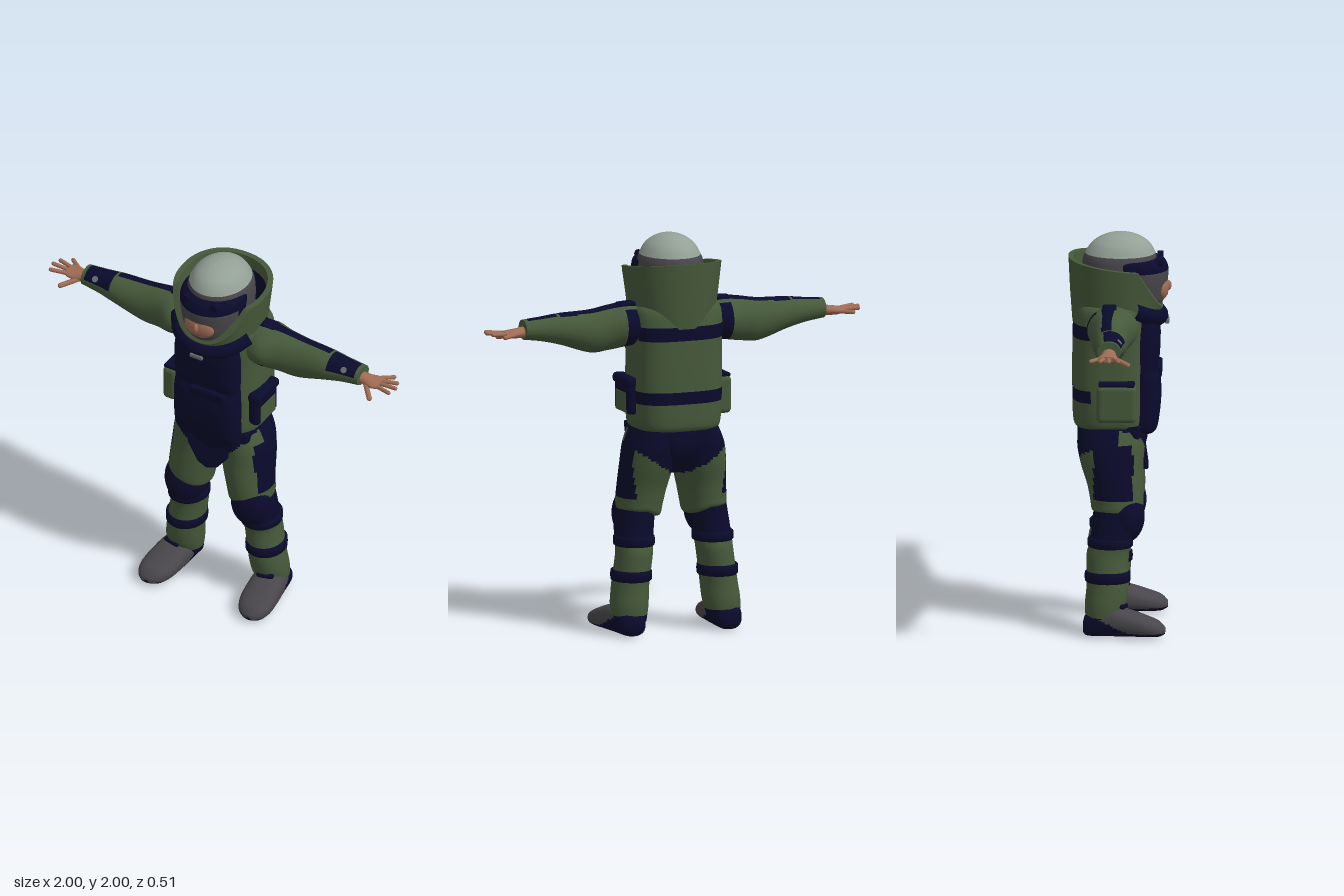
import * as THREE from 'three';
import { toCreasedNormals } from 'three/addons/utils/BufferGeometryUtils.js';
import { RoundedBoxGeometry } from 'three/addons/geometries/RoundedBoxGeometry.js';

const mat = (name, color) => Object.assign(new THREE.MeshStandardMaterial({ color }), { name });
const MATS = [mat('suit green', 0x46593a), mat('padding navy', 0x0a0a2c), mat('helmet grey', 0x93a096),
  mat('rubber grey', 0x48464a), mat('skin', 0xa06c54), mat('buckle grey', 0x6a6c72)];
const [GREEN, NAVY, SHELL, RUBBER, SKIN, METAL] = [0, 1, 2, 3, 4, 5];

// Where ring coordinates (a, t, b) land, for sweeps along y, x and z
const ALONG = {
  y: (a, t, b) => new THREE.Vector3(a, t, b),
  x: (a, t, b) => new THREE.Vector3(t, b, a),
  z: (a, t, b) => new THREE.Vector3(b, a, t),
};

const spline = (p0, p1, p2, p3, t) => {
  const m1 = (p2 - p0) / 2, m2 = (p3 - p1) / 2;
  return (2 * t ** 3 - 3 * t * t + 1) * p1 + (t ** 3 - 2 * t * t + t) * m1 +
    (3 * t * t - 2 * t ** 3) * p2 + (t ** 3 - t * t) * m2;
};

// Skin over sections [t, centreA, centreB, radiusA, radiusB]; paint(point, ring, angle) picks each face's colour
function loft(name, sections, paint, { axis = 'y', n = 2, steps = 8, seg = 56, caps = true, warp } = {}) {
  const rings = [], last = sections.length - 1, pts = [];
  for (let i = 0; i < last; i++) {
    const s = k => sections[Math.min(Math.max(k, 0), last)];
    for (let k = 0; k < steps; k++)
      rings.push(s(i).map((_, d) => spline(s(i - 1)[d], s(i)[d], s(i + 1)[d], s(i + 2)[d], k / steps)));
  }
  rings.push(sections[last]);
  const pw = v => Math.sign(v) * Math.abs(v) ** (2 / n);
  const put = v => { if (warp) warp(v); return pts.push(v) - 1; };
  for (const [t, a, b, ra, rb] of rings)
    for (let j = 0; j < seg; j++) {
      const th = j / seg * Math.PI * 2;
      put(ALONG[axis](a + ra * pw(Math.cos(th)), t, b + rb * pw(Math.sin(th))));
    }
  const buckets = MATS.map(() => []);
  const face = (ids, ring, j) => {
    const c = new THREE.Vector3();
    ids.forEach(k => c.addScaledVector(pts[k], 1 / ids.length));
    const out = buckets[typeof paint === 'function' ? paint(c, ring, (j + 0.5) / seg * 360) : paint];
    for (let k = 2; k < ids.length; k++) out.push(ids[0], ids[k - 1], ids[k]);
  };
  for (let i = 0; i < rings.length - 1; i++)
    for (let j = 0; j < seg; j++) {
      const a = i * seg + j, b = i * seg + (j + 1) % seg;
      face([a, a + seg, b + seg, b], i, j);
    }
  if (caps) {
    const end = (rings.length - 1) * seg, R = rings[rings.length - 1];
    const c0 = put(ALONG[axis](rings[0][1], rings[0][0], rings[0][2])), c1 = put(ALONG[axis](R[1], R[0], R[2]));
    for (let j = 0; j < seg; j++) {
      const k = (j + 1) % seg;
      face([c0, j, k], 0, j);
      face([c1, end + k, end + j], rings.length - 1, j);
    }
  }
  const g = new THREE.BufferGeometry().setFromPoints(pts), used = [], index = [];
  buckets.forEach((list, m) => {
    if (!list.length) return;
    g.addGroup(index.length, list.length, used.length);
    used.push(MATS[m]);
    list.forEach(v => index.push(v));
  });
  g.setIndex(index);
  const mesh = new THREE.Mesh(toCreasedNormals(g, 0.8), used.length > 1 ? used : used[0]);
  mesh.name = name;
  return mesh;
}

function part(name, geo, m, pos = [0, 0, 0], rot = [0, 0, 0], scale = [1, 1, 1]) {
  const mesh = new THREE.Mesh(geo, MATS[m]);
  mesh.name = name;
  mesh.position.set(...pos); mesh.rotation.set(...rot); mesh.scale.set(...scale);
  return mesh;
}
const box = (name, m, w, h, d, pos, rot, r = 0.012) =>
  part(name, new RoundedBoxGeometry(w, h, d, 3, Math.min(r, w / 2.1, h / 2.1, d / 2.1)), m, pos, rot);
const tube = (name, m, pts, r) =>
  part(name, new THREE.TubeGeometry(new THREE.CatmullRomCurve3(pts.map(p => new THREE.Vector3(...p))), 24, r, 12), m);
const ball = (name, m, pos, scale) => part(name, new THREE.SphereGeometry(1, 32, 24), m, pos, [0, 0, 0], scale);

// Mirror a mesh across x = 0, keeping its faces outward
function mirror(mesh) {
  const g = mesh.geometry.index ? mesh.geometry.toNonIndexed() : mesh.geometry.clone();
  g.scale(-1, 1, 1);
  for (const at of Object.values(g.attributes))
    for (let i = 0; i < at.count; i += 3)
      for (let c = 0; c < at.itemSize; c++) {
        const v = at.getComponent(i + 1, c);
        at.setComponent(i + 1, c, at.getComponent(i + 2, c));
        at.setComponent(i + 2, c, v);
      }
  const m = new THREE.Mesh(g, mesh.material), { position: p, rotation: r } = mesh;
  m.position.set(-p.x, p.y, p.z); m.rotation.set(r.x, -r.y, -r.z); m.scale.copy(mesh.scale);
  m.name = mesh.name.replace('left', 'right');
  return m;
}

function armParts() {
  const arm = loft('leftArm', [[0.17, -0.03, 1.56, 0.11, 0.1], [0.26, -0.03, 1.56, 0.128, 0.11], [0.35, -0.035, 1.55, 0.1, 0.112],
    [0.45, -0.04, 1.54, 0.09, 0.107], [0.6, -0.035, 1.56, 0.08, 0.08], [0.7, -0.035, 1.567, 0.067, 0.062], [0.8, -0.035, 1.57, 0.058, 0.05]],
  (p, ring, th) => {
    if (p.x < 0.285 && (p.y < 1.5 || p.z < -0.11)) return NAVY;
    if (p.x < 0.61 && p.y > 1.56 && Math.abs(p.z + 0.052) < 0.027) return NAVY;
    if (p.x > 0.63 && p.x < 0.785 && th > 15 && th < 115) return NAVY;
    return GREEN;
  }, { axis: 'x' });
  // Hand: palm down, fingers spread, thumb to the front
  const palm = loft('leftPalm', [[0.77, -0.035, 1.562, 0.035, 0.03], [0.82, -0.035, 1.556, 0.036, 0.026],
    [0.87, -0.038, 1.553, 0.05, 0.021], [0.905, -0.04, 1.556, 0.046, 0.014]], SKIN, { axis: 'x', seg: 24 });
  const tips = [[0.93, 1.552, -0.122], [0.975, 1.562, -0.075], [0.99, 1.564, -0.032], [0.978, 1.562, 0.014], [0.895, 1.525, 0.06]];
  const roots = [[0.865, 1.552, -0.075], [0.89, 1.556, -0.058], [0.89, 1.556, -0.036], [0.885, 1.555, -0.012], [0.83, 1.545, -0.012]];
  const fingers = tips.map((t, i) => {
    const a = new THREE.Vector3(...roots[i]), b = new THREE.Vector3(...t), d = b.clone().sub(a);
    const f = part('leftFinger', new THREE.CapsuleGeometry(i === 4 ? 0.013 : 0.0105, d.length(), 6, 12), SKIN);
    f.geometry.applyQuaternion(new THREE.Quaternion().setFromUnitVectors(new THREE.Vector3(0, 1, 0), d.clone().normalize()));
    f.position.copy(a.add(b).multiplyScalar(0.5));
    return f;
  });
  const button = part('leftCuffButton', new THREE.CylinderGeometry(0.016, 0.016, 0.012, 20), METAL, [0.72, 1.602, 0.014], [0.85, 0, 0]);
  const strap = box('leftShoulderStrap', NAVY, 0.1, 0.02, 0.07, [0.25, 1.666, -0.045], [0, 0, -0.06]);
  return [arm, palm, ...fingers, button, strap];
}

function legParts() {
  const shin = loft('leftLowerLeg', [[0.07, 0.25, -0.085, 0.085, 0.075], [0.15, 0.245, -0.068, 0.095, 0.1], [0.25, 0.235, -0.055, 0.093, 0.105],
    [0.4, 0.215, -0.055, 0.092, 0.105], [0.46, 0.21, -0.042, 0.094, 0.105], [0.55, 0.2, -0.018, 0.097, 0.115], [0.7, 0.18, -0.01, 0.095, 0.11]],
  p => (p.y > 0.45 || p.y < 0.1 ? NAVY : GREEN));
  const thigh = loft('leftThigh', [[0.615, 0.178, -0.01, 0.09, 0.1], [0.63, 0.176, -0.01, 0.11, 0.125], [0.67, 0.17, -0.01, 0.116, 0.132],
    [0.75, 0.155, -0.018, 0.125, 0.14], [0.85, 0.14, -0.035, 0.132, 0.155], [0.95, 0.13, -0.04, 0.126, 0.168], [1.04, 0.12, -0.035, 0.1, 0.165]],
  p => {
    if (p.x > 0.19 && p.y > 0.69 && p.y < 0.965 && p.z > -0.125 && p.z < 0.07) return NAVY;
    return p.y > (p.z > 0 ? 0.79 + 1.1 * p.x : 0.78 + 0.65 * p.x) ? NAVY : GREEN;
  }, { warp: v => { v.y -= Math.max(0, 0.72 - v.y) * (v.x > 0.17 ? 0 : (0.17 - v.x) * 4); } });
  const band = (name, y, x, z, h, rx, rz) => loft(name, [[y - h, x, z, rx - 0.01, rz - 0.01], [y - h * 0.8, x, z, rx, rz],
    [y + h * 0.8, x, z, rx, rz], [y + h, x, z, rx - 0.01, rz - 0.01]], NAVY, { steps: 2 });
  const boot = loft('leftBoot', [[-0.175, 0.05, 0.255, 0.03, 0.04], [-0.15, 0.062, 0.257, 0.058, 0.066], [-0.04, 0.08, 0.265, 0.076, 0.085],
    [0.05, 0.072, 0.275, 0.066, 0.092], [0.14, 0.057, 0.285, 0.05, 0.09], [0.2, 0.046, 0.291, 0.037, 0.068], [0.232, 0.038, 0.295, 0.015, 0.03]],
  p => (p.y < 0.03 + Math.max(0, 0.05 - p.z) * 0.45 ? NAVY : RUBBER), { axis: 'z', n: 2.4 });
  return [shin, thigh, boot,
    ball('leftKneePad', NAVY, [0.192, 0.595, 0.028], [0.102, 0.135, 0.1]),
    band('leftKneeStrap', 0.47, 0.21, -0.042, 0.024, 0.102, 0.112),
    band('leftCalfStrap', 0.3, 0.23, -0.055, 0.027, 0.101, 0.113),
    box('leftBootTab', NAVY, 0.09, 0.025, 0.03, [0.27, 0.155, 0.025], [0.3, 0.2, 0])];
}

function headParts() {
  const helmet = loft('helmet', [[1.6, 0, 0, 0.13, 0.13], [1.75, 0, 0, 0.165, 0.18], [1.85, 0, 0, 0.163, 0.185], [1.9, 0, 0.003, 0.147, 0.172],
    [1.95, 0, 0.005, 0.116, 0.137], [1.985, 0, 0.005, 0.064, 0.077], [2, 0, 0.005, 0.004, 0.005]], p => (p.y > 1.893 ? SHELL : RUBBER));
  const visor = loft('visor', [[1.59, 0, 0.05, 0.11, 0.12], [1.66, 0, 0.06, 0.145, 0.16], [1.75, 0, 0.065, 0.163, 0.172],
    [1.82, 0, 0.063, 0.168, 0.178], [1.86, 0, 0.055, 0.164, 0.168], [1.872, 0, 0.05, 0.15, 0.15]],
  p => (p.y > 1.815 || p.y < 1.63 || p.z < 0.1 ? NAVY : RUBBER));
  // Collar: tall behind, cut away to a low point in front of the chin
  const rim = z => Math.min(1.88 - 0.13 * (z + 0.255), 1.84 - 1.75 * (z - 0.09));
  const collar = loft('collar', [[0, 0, -0.02, 0.205, 0.215], [0.5, 0, -0.022, 0.225, 0.225], [1, 0, -0.02, 0.245, 0.235], [1, 0, -0.02, 0.218, 0.21],
    [0.8, 0, -0.02, 0.21, 0.205], [0, 0, -0.02, 0.185, 0.19]], (p, i) => (i < 4 ? GREEN : NAVY),
  { steps: 1, caps: false, n: 2.2, seg: 80, warp: v => { v.y = THREE.MathUtils.lerp(1.55, rim(v.z), v.y); } });
  const knobs = [-1, 1].map(s => part('visorKnob', new THREE.CylinderGeometry(0.02, 0.02, 0.03, 20), NAVY, [s * 0.085, 1.862, 0.2], [Math.PI / 2, 0, 0]));
  return [helmet, visor, collar, ...knobs,
    ball('face', SKIN, [0, 1.722, 0.206], [0.085, 0.066, 0.038]),
    ball('nose', SKIN, [0, 1.728, 0.24], [0.013, 0.026, 0.017]),
    ball('mouth', RUBBER, [0, 1.684, 0.226], [0.024, 0.005, 0.014])];
}

function bodyParts() {
  const torso = loft('jacket', [[1.03, 0, -0.045, 0.2, 0.165], [1.06, 0, -0.045, 0.222, 0.185], [1.2, 0, -0.047, 0.23, 0.188], [1.42, 0, -0.047, 0.23, 0.188],
    [1.57, 0, -0.045, 0.235, 0.185], [1.65, 0, -0.04, 0.22, 0.165], [1.67, 0, -0.04, 0.15, 0.12]], p => {
    if (p.z < -0.14 && p.y > 1.495 && p.y < 1.56) return NAVY;
    return p.y > 1.17 && p.y < 1.235 && (p.z < -0.14 || (p.x > 0.15 && p.z < 0.02)) ? NAVY : GREEN;
  }, { n: 3, steps: 12, seg: 72 });
  const pelvis = loft('pelvis', [[0.8, 0, -0.03, 0.02, 0.05], [0.85, 0, -0.03, 0.08, 0.12], [0.93, 0, -0.035, 0.16, 0.165],
    [1, 0, -0.035, 0.205, 0.175], [1.06, 0, -0.04, 0.2, 0.165]], NAVY, { n: 2.4 });
  const plate = loft('chestPlate', [[1.0, 0, 0.11, 0.14, 0.06], [1.03, 0, 0.11, 0.175, 0.08], [1.15, 0, 0.115, 0.18, 0.09], [1.27, 0, 0.115, 0.18, 0.086],
    [1.32, 0, 0.11, 0.178, 0.076], [1.37, 0, 0.11, 0.178, 0.088], [1.5, 0, 0.11, 0.18, 0.092], [1.59, 0, 0.11, 0.17, 0.08]], NAVY, { n: 3.5 });
  // Groin guard: a shield shape bent back toward the hips
  const s = new THREE.Shape([[-0.2, 1.04], [-0.2, 1.0], [-0.05, 0.82], [0, 0.8], [0.05, 0.82], [0.2, 1.0], [0.2, 1.04], [0, 1.05]]
    .map(p => new THREE.Vector2(...p)));
  const guard = new THREE.ExtrudeGeometry(s, { depth: 0.04, bevelSize: 0.01, bevelThickness: 0.012, bevelSegments: 3 });
  const pos = guard.attributes.position;
  for (let i = 0; i < pos.count; i++) pos.setZ(i, pos.getZ(i) + 0.115 - 1.6 * pos.getX(i) ** 2 - (1.04 - pos.getY(i)) * 0.1);
  guard.computeVertexNormals();
  return [torso, pelvis, plate, part('groinGuard', guard, NAVY),
    tube('throatRoll', NAVY, [[-0.2, 1.64, 0.07], [-0.13, 1.595, 0.16], [0, 1.575, 0.2], [0.13, 1.595, 0.16], [0.2, 1.64, 0.07]], 0.042),
    box('throatBuckle', METAL, 0.07, 0.022, 0.02, [0, 1.55, 0.236], [0, 0, 0], 0.004),
    box('chestFlap', NAVY, 0.2, 0.06, 0.03, [0.04, 1.3, 0.195]),
    box('leftPouch', NAVY, 0.06, 0.18, 0.2, [0.236, 1.2, -0.01], [0, 0, 0], 0.025),
    box('leftPouchFlap', NAVY, 0.07, 0.05, 0.21, [0.24, 1.275, -0.01], [0, 0, 0], 0.02),
    box('leftPouchPanel', GREEN, 0.008, 0.1, 0.14, [0.265, 1.17, -0.01], [0, 0, 0], 0.003),
    box('rightPouch', GREEN, 0.08, 0.19, 0.2, [-0.25, 1.18, -0.01], [0, 0, 0], 0.025),
    box('rightPouchFlap', NAVY, 0.076, 0.02, 0.18, [-0.248, 1.278, -0.01], [0, 0, 0], 0.008)];
}

export function createModel() {
  const model = new THREE.Group();
  model.name = 'protectiveSuitFigure';
  const sides = [...armParts(), ...legParts()];
  model.add(...bodyParts(), ...headParts(), ...sides, ...sides.map(mirror));
  return model;
}
